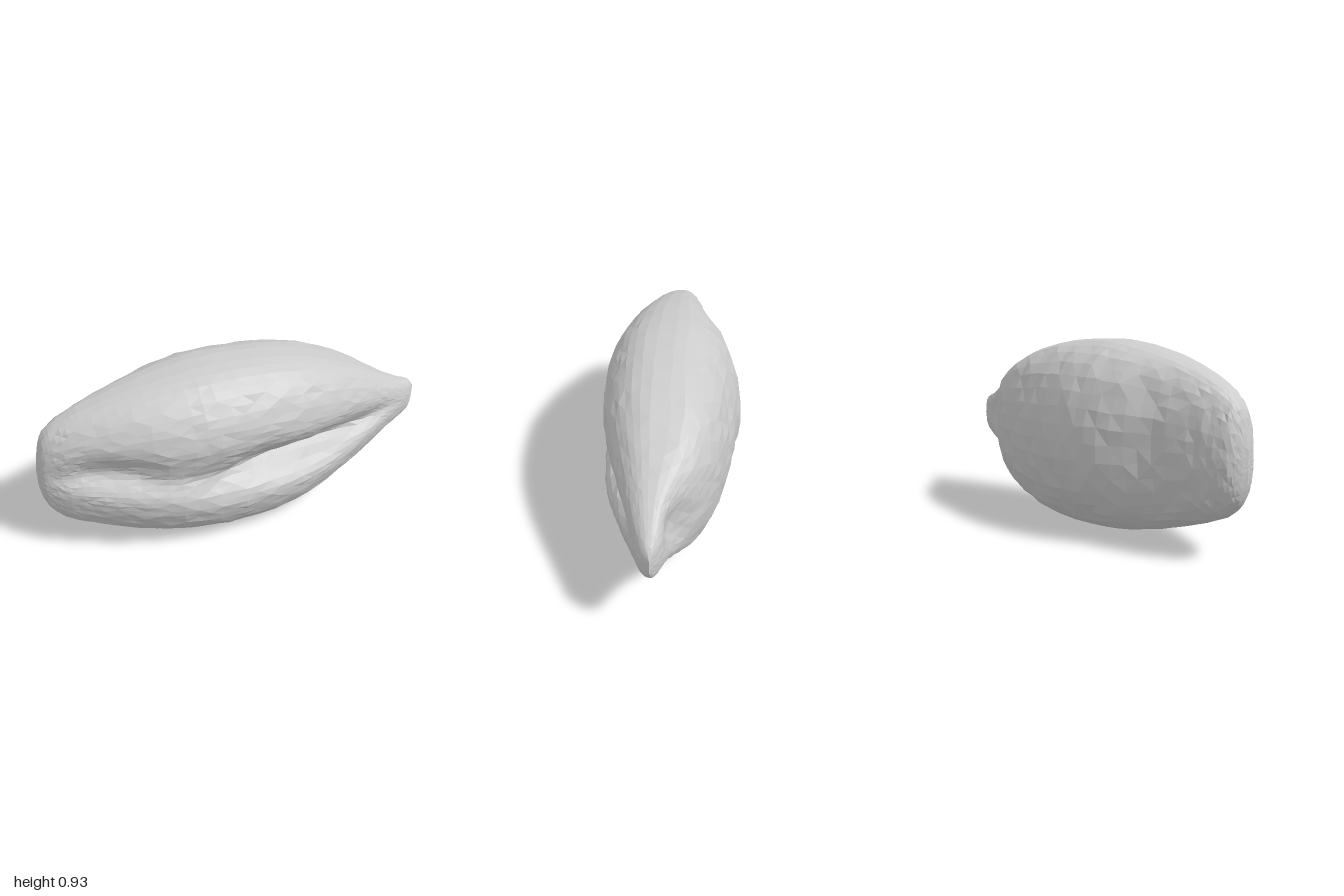
import * as THREE from 'three';

// Stations along the shell: x, bottom, top, back z, front z, groove y, groove depth
const stations = [
  [-1.0, 0.40, 0.50, 0, 0, 0.47, 0],
  [-0.985, 0.32, 0.58, -0.05, 0.05, 0.48, 0],
  [-0.95, 0.25, 0.69, -0.09, 0.09, 0.49, 0.01],
  [-0.88, 0.19, 0.75, -0.12, 0.14, 0.5, 0.03],
  [-0.78, 0.15, 0.8, -0.15, 0.195, 0.51, 0.07],
  [-0.6, 0.09, 0.86, -0.2, 0.275, 0.5, 0.09],
  [-0.4, 0.04, 0.905, -0.3, 0.335, 0.47, 0.06],
  [-0.2, 0.01, 0.93, -0.345, 0.36, 0.44, 0.09],
  [0, 0, 0.925, -0.34, 0.355, 0.44, 0.15],
  [0.2, 0.015, 0.9, -0.315, 0.335, 0.43, 0.18],
  [0.4, 0.075, 0.84, -0.275, 0.285, 0.44, 0.15],
  [0.6, 0.17, 0.75, -0.2, 0.21, 0.46, 0.08],
  [0.72, 0.24, 0.68, -0.135, 0.16, 0.475, 0.04],
  [0.8, 0.29, 0.63, -0.09, 0.125, 0.485, 0.015],
  [0.9, 0.335, 0.575, -0.055, 0.08, 0.48, 0],
  [0.96, 0.365, 0.55, -0.03, 0.05, 0.47, 0],
  [1.0, 0.43, 0.5, 0, 0, 0.47, 0],
];

const column = (a, b, c) =>
  new THREE.CatmullRomCurve3(stations.map((s) => new THREE.Vector3(s[a], s[b], s[c])));

const bell = (v, width) => Math.exp(-((v / width) ** 2));

function seeded(seed) {
  return () => {
    seed = (seed * 16807) % 2147483647;
    return seed / 2147483647 - 0.5;
  };
}

// Rounded cross-sections with a lipped groove down the front
function shellGeometry(rings = 52, sides = 52) {
  const height = column(0, 1, 2);
  const depth = column(3, 4, 6);
  const groove = column(0, 5, 6);
  const rand = seeded(77);
  const positions = [];
  const index = [];
  for (let i = 0; i <= rings; i++) {
    const t = i / rings;
    const { x, y: bottom, z: top } = height.getPoint(t);
    const { x: back, y: front, z: cut } = depth.getPoint(t);
    const grooveY = groove.getPoint(t).y;
    const h = (top - bottom) / 2;
    const rough = 0.014 * Math.min(1, h * 2) * (i % rings ? 1 : 0);
    // The back squares off and dips in just before the pointed tip
    const square = bell(x - 0.55, 0.32);
    const dip = 0.06 * bell(x - 0.75, 0.1);
    // A narrow slit deepens the groove towards the tip
    const slit = 0.35 * bell(x - 0.3, 0.45);
    for (let k = 0; k < sides; k++) {
      // Points gather around the groove
      const u = (k / sides) * Math.PI * 2;
      const a = u - 0.5 * Math.sin(u);
      const c = Math.cos(a);
      const y = (bottom + top) / 2 + h * Math.sin(a);
      const d = (y - grooveY) / (h / 0.465);
      let z;
      if (c > 0) {
        const wide = bell(d, d > 0 ? 0.14 : 0.09);
        z = front * Math.pow(c, 0.75) - cut * ((1 - slit) * wide + slit * bell(d, 0.04));
      } else {
        z = back * Math.pow(-c, 0.92 - 0.35 * square) + dip * bell(d, 0.28);
      }
      // Slight unevenness, calmer where points are dense
      const jitter = rough * (c > 0 ? 0.6 : 1);
      positions.push(x + rand() * jitter, y + rand() * jitter * Math.abs(c), z + rand() * jitter);
    }
  }
  for (let i = 0; i < rings; i++) {
    for (let k = 0; k < sides; k++) {
      const a = i * sides + k;
      const d = i * sides + ((k + 1) % sides);
      const b = a + sides;
      const c = d + sides;
      if ((i + k) % 2) index.push(a, b, c, a, c, d);
      else index.push(a, b, d, b, c, d);
    }
  }
  const geometry = new THREE.BufferGeometry();
  geometry.setAttribute('position', new THREE.Float32BufferAttribute(positions, 3));
  geometry.setIndex(index);
  geometry.computeVertexNormals();
  return geometry;
}

export function createModel() {
  const group = new THREE.Group();
  group.name = 'shell';
  const material = new THREE.MeshStandardMaterial({ color: 0xcccccc, flatShading: true });
  const body = new THREE.Mesh(shellGeometry(), material);
  body.name = 'groovedShellBody';
  group.add(body);
  return group;
}
